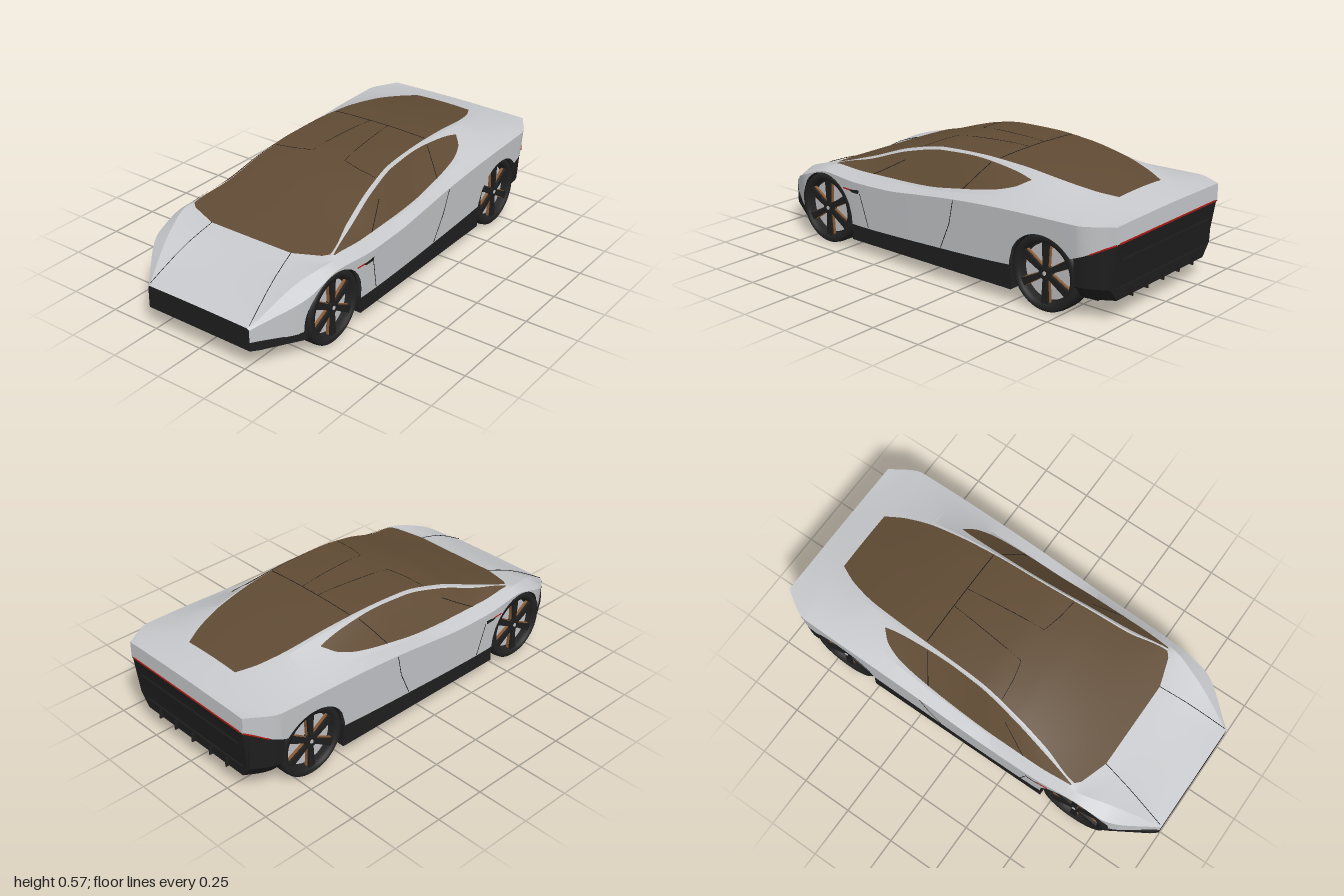
import * as THREE from 'three';
import { toCreasedNormals } from 'three/addons/utils/BufferGeometryUtils.js';

const mat = (name, color, side = THREE.DoubleSide) => {
  const m = new THREE.MeshStandardMaterial({ color, side });
  m.name = name;
  return m;
};

// Smooth curve through values without overshoot
function curve(xs, ys) {
  const n = xs.length;
  const d = xs.slice(1).map((x, i) => (ys[i + 1] - ys[i]) / (x - xs[i]));
  const m = xs.map((_, i) => {
    if (i === 0) return d[0];
    if (i === n - 1) return d[n - 2];
    return d[i - 1] * d[i] <= 0 ? 0 : 2 * d[i - 1] * d[i] / (d[i - 1] + d[i]);
  });
  return (x) => {
    let i = 0;
    while (i < n - 2 && x > xs[i + 1]) i++;
    const h = xs[i + 1] - xs[i], t = Math.min(1, Math.max(0, (x - xs[i]) / h));
    const a = t * t * (3 - 2 * t);
    return ys[i] * (1 - a) + ys[i + 1] * a + h * (m[i] * t * (1 - t) ** 2 - m[i + 1] * t * t * (1 - t));
  };
}

// Body section lines along the length
const X = [-1, -0.76, -0.6, -0.4, -0.2, 0, 0.2, 0.4, 0.6, 0.85, 1];
const creaseZ = curve(X, [0.28, 0.43, 0.442, 0.455, 0.458, 0.46, 0.46, 0.46, 0.46, 0.457, 0.38]);
const creaseY = curve(X, [0.2, 0.315, 0.358, 0.35, 0.356, 0.378, 0.4, 0.415, 0.424, 0.43, 0.435]);
const beltZ = curve(X, [0.275, 0.36, 0.405, 0.412, 0.412, 0.405, 0.4, 0.39, 0.385, 0.37, 0.3]);
const beltY = curve(X, [0.205, 0.348, 0.383, 0.383, 0.385, 0.392, 0.415, 0.44, 0.45, 0.446, 0.437]);
const railZ = curve(X, [0.27, 0.24, 0.387, 0.34, 0.306, 0.281, 0.272, 0.265, 0.25, 0.22, 0.2]);
const railY = curve(X, [0.208, 0.335, 0.387, 0.444, 0.512, 0.548, 0.553, 0.542, 0.514, 0.463, 0.438]);
const roofY = curve(X, [0.21, 0.328, 0.39, 0.463, 0.528, 0.557, 0.562, 0.55, 0.522, 0.472, 0.44]);
const sillY = curve([-1, -0.45, 0, 0.5, 0.84, 0.9, 1], [0.135, 0.135, 0.147, 0.172, 0.285, 0.31, 0.36]);
const WHEELS = [-0.625, 0.675], AXLE = 0.172, ARCH = 0.176;

const lerp = THREE.MathUtils.lerp;
function topY(x, z) {
  const a = Math.abs(z), r = railZ(x), b = beltZ(x), c = creaseZ(x);
  if (a <= r) return lerp(roofY(x), railY(x), (a / r) ** 2);
  if (a <= b) return lerp(railY(x), beltY(x), (a - r) / (b - r));
  return lerp(beltY(x), creaseY(x), Math.min(1, (a - b) / (c - b)));
}
function bottomY(x) {
  let y = sillY(x);
  for (const w of WHEELS) {
    const d = Math.abs(x - w);
    if (d < ARCH) y = Math.max(y, AXLE + Math.sqrt(ARCH * ARCH - d * d));
  }
  return Math.min(y, creaseY(x) - 0.003);
}
const sideZ = (x, y) => creaseZ(x) - 0.08 * Math.max(0, creaseY(x) - y);

// Skin over rows of points
function skin(rows, angle = 0.35) {
  const pos = [], idx = [], n = rows[0].length;
  rows.forEach((r) => r.forEach((p) => pos.push(...p)));
  for (let i = 0; i < rows.length - 1; i++) for (let j = 0; j < n - 1; j++) {
    const a = i * n + j, b = a + n;
    idx.push(a, b, a + 1, b, b + 1, a + 1);
  }
  const g = new THREE.BufferGeometry();
  g.setAttribute('position', new THREE.Float32BufferAttribute(pos, 3));
  g.setIndex(idx);
  return toCreasedNormals(g, angle);
}
const range = (a, b, n) => Array.from({ length: n + 1 }, (_, i) => a + (b - a) * i / n);

export function createModel() {
  const car = new THREE.Group();
  car.name = 'car';
  const silver = mat('silver paint', 0xc6c8cb), glass = mat('bronze glass', 0x604b34);
  const black = mat('black trim', 0x1e1e1f), tyreMat = mat('tyre rubber', 0x222223);
  const red = mat('red lamp', 0xb01c14), steel = mat('brake steel', 0xc0c0c2);
  const copper = mat('copper edge', 0x8a5a34), seamMat = mat('panel gap', 0x151515);
  const add = (name, geo, m, parent = car, p = [0, 0, 0]) => {
    const mesh = new THREE.Mesh(geo, m);
    mesh.name = name;
    mesh.position.set(...p);
    parent.add(mesh);
    return mesh;
  };
  const box = (name, w, h, d, x, y, z, m) => add(name, new THREE.BoxGeometry(w, h, d), m, car, [x, y, z]);

  // Painted shell with open wheel arches
  const xs = range(-1, 1, 100);
  for (const w of WHEELS) for (const s of [-1, 1]) xs.push(w + s * (ARCH - 0.0005), w + s * (ARCH + 0.0005));
  xs.sort((a, b) => a - b);
  const section = (x) => {
    const y = bottomY(x), half = [[x, y, sideZ(x, y)], [x, creaseY(x), creaseZ(x)], [x, beltY(x), beltZ(x)]];
    for (const t of [1, 0.8, 0.6, 0.4, 0.2]) half.push([x, topY(x, railZ(x) * t), railZ(x) * t]);
    return [...half, [x, roofY(x), 0], ...half.map(([a, b, c]) => [a, b, -c]).reverse()];
  };
  add('bodyShell', skin(xs.map(section)), silver);
  // End panels close the shell
  const endPanel = (x) => skin([section(x).map(([a, , c]) => [a, bottomY(x), c]), section(x)]);
  add('nosePanel', endPanel(-1), black);
  add('tailPanel', endPanel(1), silver);

  // Glass laid over the shell
  const glaze = (name, x0, x1, zA, zB, n) => add(name, skin(range(x0, x1, 72).map((x) =>
    range(zA(x), zB(x), n).map((z) => [x, topY(x, z) + 0.006, z]))), glass);
  const screenW = curve([-0.65, -0.59, -0.4, -0.2, 0, 0.3, 0.6, 0.75, 0.85],
    [0.22, 0.378, 0.33, 0.297, 0.273, 0.26, 0.235, 0.2, 0.155]);
  glaze('windscreenAndRoof', -0.65, 0.85, screenW, (x) => -screenW(x), 24);
  const WX = [-0.58, -0.4, -0.2, 0, 0.2, 0.35, 0.45, 0.5];
  const winOut = curve(WX, [0.395, 0.406, 0.406, 0.4, 0.391, 0.376, 0.345, 0.3]);
  const winIn = curve(WX, [0.39, 0.35, 0.315, 0.289, 0.281, 0.284, 0.29, 0.297]);
  for (const s of [1, -1]) glaze('sideWindow', -0.58, 0.5, (x) => s * winOut(x), (x) => s * winIn(x), 6);

  // Fine panel gaps
  const line = (name, pts, r, m) => {
    const path = new THREE.CurvePath();
    for (let i = 1; i < pts.length; i++) {
      path.add(new THREE.LineCurve3(new THREE.Vector3(...pts[i - 1]), new THREE.Vector3(...pts[i])));
    }
    return add(name, new THREE.TubeGeometry(path, 24, r, 4), m);
  };
  const onTop = (x, z) => [x, topY(x, z) + 0.006, z];
  line('roofSeam', range(-0.255, 0.255, 8).map((z) => onTop(0.295, z)), 0.0018, seamMat);
  for (const s of [1, -1]) {
    const onSide = (x, y) => [x, y, s * sideZ(x, y)];
    line('doorFrontGap', [onSide(-0.38, 0.3), onSide(-0.36, 0.22), onSide(-0.34, 0.14)], 0.0018, seamMat);
    line('doorRearGap', [onSide(0.2, 0.395), onSide(0.17, 0.28), onSide(0.11, 0.155)], 0.0018, seamMat);
    line('roofPanelGap', [...range(0.29, -0.1, 4).map((x) => onTop(x, s * (0.08 - x * 0.1))),
      onTop(-0.12, s * 0.18), onTop(-0.13, s * 0.28)], 0.0015, seamMat);
    line('hoodGap', range(-0.99, -0.65, 5).map((x) => onTop(x, s * (0.22 - (x + 0.65) * 0.16))), 0.0015, seamMat);
    for (const x of [-0.33, 0.2]) {
      line('windowPillarGap', range(0, 1, 5).map((t) =>
        onTop(x + t * 0.1 * (x < 0 ? -1 : -0.5) + 0.12 * t * 2 * (x < 0 ? 1 : 0.5), s * lerp(winOut(x), winIn(x) + 0.006, t))),
      0.0018, seamMat);
    }
    // Side vent and marker lamp behind the front wheel
    add('sideVent', skin([[onSide(-0.45, 0.308), onSide(-0.38, 0.318)], [onSide(-0.43, 0.298), onSide(-0.385, 0.298)]]
      .map((r) => r.map(([x, y, z]) => [x, y, z + s * 0.004]))), black);
    line('sideMarker', [onSide(-0.49, 0.306), onSide(-0.435, 0.306)], 0.004, red);
    // Rear lamp corner strips
    line('rearLampCorner', [onSide(1, 0.358), onSide(0.95, sillY(0.95)), onSide(0.905, 0.311)], 0.004, red);
  }
  box('rearLampBar', 0.006, 0.007, 0.72, 1, 0.36, 0, red);

  // Rear bumper wraps round under the painted tail
  const bumper = range(0.835, 1, 6).map((x) => {
    const y = sillY(x) + 0.002, z = sideZ(x, y) - 0.002, x2 = Math.min(x, 0.972);
    const half = [[x, y, z], [x2, 0.16, z - 0.01], [x2, 0.1, z - 0.06]];
    return [...half, ...half.map(([a, b, c]) => [a, b, -c]).reverse()];
  });
  add('rearBumper', skin(bumper), black);
  const end = bumper[6];
  add('rearBumperFace', skin([0, 1, 2].map((i) => [end[5 - i], end[i]])), black);
  for (const [y, x] of [[0.15, 0.972], [0.28, 0.988]]) box('bumperRib', 0.012, 0.008, 0.66, x, y, 0, black);
  for (const z of [-0.23, -0.12, 0, 0.12, 0.23]) box('diffuserFin', 0.06, 0.045, 0.006, 0.955, 0.118, z, black);

  // Floor, sills and front splitter
  const extrude = (name, pts, depth) => add(name, new THREE.ExtrudeGeometry(
    new THREE.Shape(pts.map((p) => new THREE.Vector2(...p))), { depth, bevelEnabled: false }), black);
  extrude('sills', [[-0.45, 0.06], [0.505, 0.06], [0.5, 0.175], [0, 0.15], [-0.445, 0.138]], 0.872).position.z = -0.436;
  extrude('chassis', [[-0.8, 0.1], [-0.7, 0.075], [-0.45, 0.06], [0.5, 0.06], [0.86, 0.06], [0.9, 0.1],
    [0.86, 0.3], [-0.7, 0.26], [-0.8, 0.2]], 0.6).position.z = -0.3;
  const splitter = extrude('frontSplitter', [[-1, -0.28], [-0.97, -0.305], [-0.79, -0.415],
    [-0.79, 0.415], [-0.97, 0.305], [-1, 0.28]], 0.038);
  splitter.rotation.x = Math.PI / 2;
  splitter.position.y = 0.138;

  // Wheels: tyre, disc, six spokes and hub
  const tyreProfile = [[0.132, -0.055], [0.158, -0.058], [0.168, -0.05], [0.171, -0.03], [0.171, 0.03],
    [0.168, 0.05], [0.158, 0.058], [0.136, 0.056], [0.132, 0.035], [0.132, -0.055]];
  const tyre = new THREE.LatheGeometry(tyreProfile.map((p) => new THREE.Vector2(...p)), 48).rotateX(Math.PI / 2);
  const disc = (r, h) => new THREE.CylinderGeometry(r, r, h, 40).rotateX(Math.PI / 2);
  const spokeShape = (e) => {
    const s = new THREE.Shape([[-0.01 - e, 0.015], [0.01 + e, 0.015], [0.017 + e, 0.134], [-0.017 - e, 0.134]]
      .map((p) => new THREE.Vector2(...p)));
    return new THREE.ExtrudeGeometry(s, { depth: 0.012, bevelEnabled: false });
  };
  const spoke = spokeShape(0), spokeEdge = spokeShape(0.0025);
  const liner = new THREE.CylinderGeometry(ARCH, ARCH, 0.12, 32, 1, true, Math.PI / 2, Math.PI).rotateX(Math.PI / 2);
  for (const x of WHEELS) for (const s of [1, -1]) {
    const wheel = new THREE.Group();
    wheel.name = (x < 0 ? 'front' : 'rear') + (s > 0 ? 'Left' : 'Right') + 'Wheel';
    wheel.position.set(x, AXLE, s * 0.373);
    if (s < 0) wheel.rotation.y = Math.PI;
    car.add(wheel);
    add('tyre', tyre, tyreMat, wheel);
    add('wheelBack', disc(0.133, 0.05), black, wheel, [0, 0, -0.02]);
    add('brakeDisc', disc(0.122, 0.02), steel, wheel, [0, 0, 0.01]);
    add('hub', disc(0.03, 0.03), black, wheel, [0, 0, 0.036]);
    add('hubCap', disc(0.009, 0.004), steel, wheel, [0, 0, 0.052]);
    for (let i = 0; i < 6; i++) {
      add('spoke', spoke, black, wheel, [0, 0, 0.038]).rotation.z = i * Math.PI / 3;
      add('spokeEdge', spokeEdge, copper, wheel, [0, 0, 0.024]).rotation.z = i * Math.PI / 3;
    }
    add('archLiner', liner, black, car, [x, AXLE, s * 0.36]);
  }
  return car;
}
